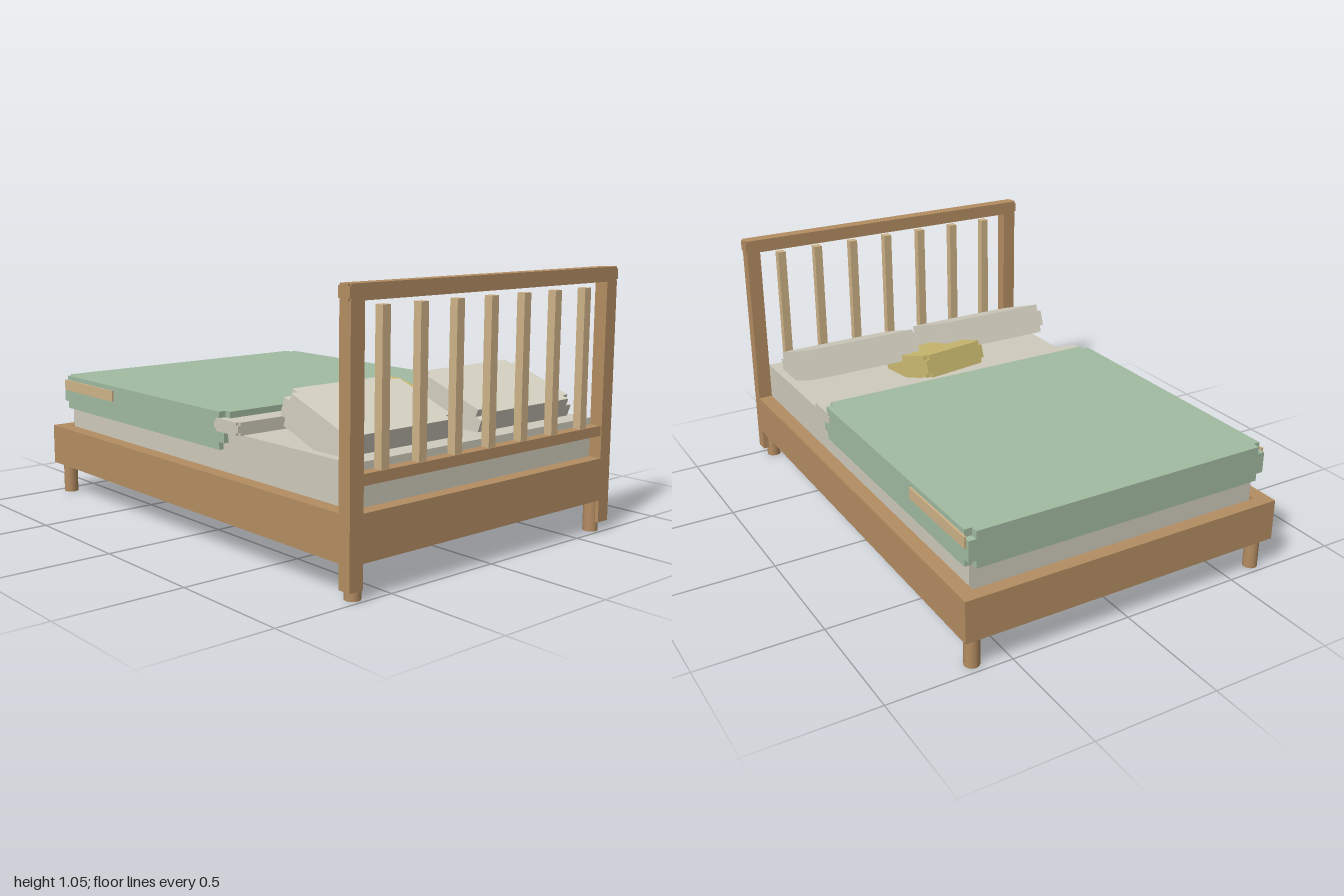
import * as THREE from 'three';
import { mergeGeometries } from 'three/addons/utils/BufferGeometryUtils.js';

const mat = (name, color) => {
  const m = new THREE.MeshStandardMaterial({ color });
  m.name = name;
  return m;
};

// Box whose eight corners are notched by a small cube of side r
function notchedBox(w, h, d, r) {
  return mergeGeometries([
    new THREE.BoxGeometry(w - 2 * r, h, d),
    new THREE.BoxGeometry(w, h - 2 * r, d),
    new THREE.BoxGeometry(w, h, d - 2 * r),
  ]);
}

export function createModel() {
  const bed = new THREE.Group();
  bed.name = 'bed';

  const wood = mat('oak wood', 0xb48d62);
  const paleWood = mat('pale wood', 0xcfb388);
  const linen = mat('linen', 0xcfcbbc);
  const pillowCloth = mat('pillow cloth', 0xd5d1c2);
  const green = mat('sage green', 0xa2bba2);
  const mustard = mat('mustard', 0xcbba70);

  const add = (name, geometry, material, x, y, z) => {
    const mesh = new THREE.Mesh(geometry, material);
    mesh.name = name;
    mesh.position.set(x, y, z);
    bed.add(mesh);
    return mesh;
  };
  // Plain box given by its limits on each axis
  const block = (name, material, [x0, x1], [y0, y1], [z0, z1]) =>
    add(name, new THREE.BoxGeometry(x1 - x0, y1 - y0, z1 - z0), material,
      (x0 + x1) / 2, (y0 + y1) / 2, (z0 + z1) / 2);

  // Frame: foot rail and head panel between the side rails
  block('footRail', wood, [-0.63, 0.63], [0.13, 0.3], [-1, -0.945]);
  block('headPanel', wood, [-0.63, 0.63], [0.13, 0.3], [0.945, 1]);

  // Paired parts, mirrored left and right
  for (const s of [-1, 1]) {
    const side = s > 0 ? 'left' : 'right';
    const span = (a, b) => (s > 0 ? [a, b] : [-b, -a]);
    block(side + 'SideRail', wood, span(0.63, 0.69), [0.13, 0.3], [-1, 0.945]);
    block(side + 'HeadPost', wood, span(0.63, 0.69), [0.04, 0.995], [0.945, 1]);

    // Turned legs
    for (const [end, z] of [['Front', 0.957], ['Back', -0.95]]) {
      add(side + end + 'Leg', new THREE.CylinderGeometry(0.03, 0.03, 0.13, 12), wood, s * 0.638, 0.065, z);
    }

    // Trim strip on the blanket side
    block(side + 'BlanketTrim', paleWood, span(0.65, 0.658), [0.465, 0.51], [-0.94, -0.535]);

    // Pillow leaning up towards the foot end
    const pillow = add(side + 'Pillow', notchedBox(0.525, 0.13, 0.35, 0.03), pillowCloth, s * 0.332, 0.529, 0.698);
    pillow.rotation.x = 0.35;
  }

  // Headboard
  add('headTopRail', notchedBox(1.39, 0.056, 0.056, 0.008), wood, 0, 1.022, 0.972);
  block('headMiddleRail', wood, [-0.63, 0.63], [0.39, 0.43], [0.95, 0.995]);
  for (let i = 0; i < 7; i++) {
    const x = (i - 3) * 0.175;
    block('headSlat' + (i + 1), paleWood, [x - 0.018, x + 0.018], [0.43, 0.975], [0.955, 0.99]);
  }

  // Bedding
  block('mattress', linen, [-0.63, 0.63], [0.25, 0.456], [-0.92, 0.945]);
  add('blanket', notchedBox(1.3, 0.145, 1.21, 0.03), green, 0, 0.457, -0.35);
  add('sheetFold', notchedBox(1.306, 0.05, 0.15, 0.012), linen, 0, 0.48, 0.272);

  // Small cushion, tilted and slightly turned
  const cushion = add('cushion', notchedBox(0.31, 0.1, 0.32, 0.02), mustard, 0, 0.512, 0.505);
  cushion.rotation.set(0.28, 0.16, 0, 'YXZ');

  return bed;
}
